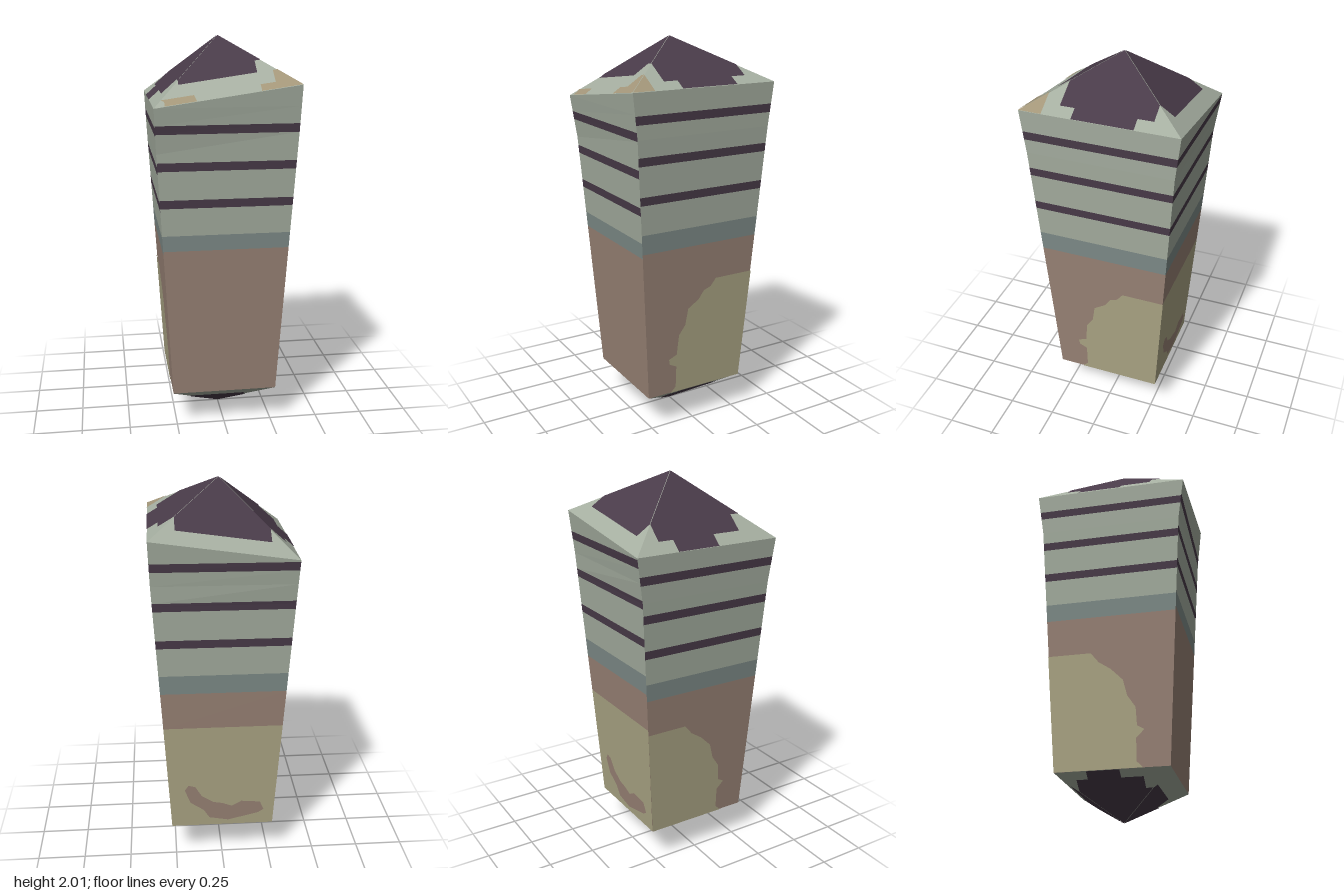
import * as THREE from 'three';

const mat = (name, color) => Object.assign(new THREE.MeshStandardMaterial({ color }), { name });
const sage = mat('sageStone', 0xa5aea0);
const plum = mat('darkPlum', 0x493b49);
const slate = mat('slateBlue', 0x7f8c89);
const brown = mat('clayBrown', 0x998376);
const lichen = mat('lichenOlive', 0xaca685);
const tan = mat('tanSpot', 0xa39679);

const V = (x, y, z) => new THREE.Vector3(x, y, z);

// Four corner edges of the pillar (sx, sz signs): bottom, kink and top points; the -x side is shorter
const corner = (sx, sz) => sx > 0
  ? [V(0.27, 0.19, sz * 0.278), V(0.345, 1.57, sz * 0.367), V(0.352, 1.79, sz * 0.392)]
  : [V(-0.27, 0.19, sz * 0.278), V(-0.342, 1.47, sz * 0.361), V(-0.352, 1.69, sz * 0.392)];

function edgePoint([b, m, t], y) {
  const [p, q] = y < m.y ? [b, m] : [m, t];
  return p.clone().lerp(q, THREE.MathUtils.clamp((y - p.y) / (q.y - p.y), 0, 1));
}

// Flat-shaded mesh from a list of triangles, each turned to face outward
function triMesh(name, tris, material, out) {
  const pts = [];
  for (const [a, b, c] of tris) {
    const n = b.clone().sub(a).cross(c.clone().sub(a));
    if (n.length() < 1e-9) continue;
    pts.push(...(n.dot(out) > 0 ? [a, b, c] : [a, c, b]));
  }
  const g = new THREE.BufferGeometry().setFromPoints(pts);
  g.computeVertexNormals();
  const mesh = new THREE.Mesh(g, material);
  mesh.name = name;
  return mesh;
}

// Thin painted patch: a 2D outline projected along one axis onto the plane a-b-c
function patch(name, outline, axes, [a, b, c], material, out) {
  const n = b.clone().sub(a).cross(c.clone().sub(a)).normalize();
  if (n.dot(out) < 0) n.negate();
  const [u, v, w] = axes;
  const flat = outline.map(([x, y]) => new THREE.Vector2(x, y));
  if (THREE.ShapeUtils.isClockWise(flat)) flat.reverse();
  const pts = flat.map(p => {
    const q = V();
    q[u] = p.x;
    q[v] = p.y;
    q[w] = a[w] - (n[u] * (p.x - a[u]) + n[v] * (p.y - a[v])) / n[w];
    return q.addScaledVector(n, 0.003);
  });
  const tris = THREE.ShapeUtils.triangulateShape(flat, []).map(t => t.map(i => pts[i]));
  return triMesh(name, tris, material, out);
}

// Side wall of horizontal colour bands between two corner edges
function wall(name, A, B, bands, out) {
  const group = new THREE.Group();
  group.name = name;
  let y0 = 0.19;
  for (const [y1, material, part] of bands) {
    const cuts = [y0, ...[1.47, 1.57, 1.69].filter(y => y > y0 && y < y1), y1];
    const tris = [];
    for (let i = 0; i < cuts.length - 1; i++) {
      const [a, b, c, d] = [edgePoint(A, cuts[i]), edgePoint(B, cuts[i]),
        edgePoint(B, cuts[i + 1]), edgePoint(A, cuts[i + 1])];
      tris.push([a, b, c], [a, c, d]);
    }
    group.add(triMesh(part, tris, material, out));
    y0 = y1;
  }
  return group;
}

// Clay base, slate band and three dark stripes at the given heights
function bandList(slateLow, slateHigh, stripes, lichenTop) {
  const list = lichenTop ? [[lichenTop, lichen, 'lichenBand']] : [];
  list.push([slateLow, brown, 'clayBase'], [slateHigh, slate, 'slateBand']);
  for (const y of stripes) list.push([y - 0.02, sage, 'stoneBand'], [y + 0.022, plum, 'darkStripe']);
  list.push([1.79, sage, 'stoneTop']);
  return list;
}

export function createModel() {
  const model = new THREE.Group();
  model.name = 'stonePillar';

  const fl = corner(1, 1), fr = corner(-1, 1), bl = corner(1, -1), br = corner(-1, -1);
  const highStripes = [1.27, 1.463, 1.66];
  const sides = [
    { name: 'front', A: fr, B: fl, out: V(0, 0, 1), bands: bandList(0.98, 1.06, [1.22, 1.405, 1.585]) },
    { name: 'left', A: fl, B: bl, out: V(1, 0, 0), bands: bandList(1.0, 1.1, highStripes) },
    { name: 'back', A: bl, B: br, out: V(0, 0, -1), bands: bandList(1.0, 1.1, highStripes, 0.8) },
    { name: 'right', A: br, B: fr, out: V(-1, 0, 0), bands: bandList(0.96, 1.05, [1.205, 1.385, 1.575]) },
  ];

  // Dark cap outlines per side, in plan (x, z)
  const capOutline = {
    back: [[-0.225, -0.25], [-0.225, -0.32], [0.225, -0.32], [0.225, -0.25]],
    left: [[0.225, -0.25], [0.3, -0.25], [0.3, -0.172], [0.352, -0.172], [0.352, 0.13], [0.3, 0.13], [0.3, 0.203], [0.182, 0.203]],
    front: [[0.182, 0.203], [0.152, 0.203], [0.152, 0.278], [-0.225, 0.278], [-0.225, 0.25]],
    right: [[-0.225, 0.25], [-0.225, 0.203], [-0.3, 0.203], [-0.3, 0.053], [-0.352, 0.053], [-0.352, -0.172],
      [-0.3, -0.172], [-0.3, -0.25], [-0.225, -0.25]],
  };

  const top = V(0, 2, 0), base = V(0, 0, 0), up = V(0, 1, 0), down = V(0, -1, 0);
  const plan = ['x', 'z', 'y'];
  for (const { name, A, B, out, bands } of sides) {
    model.add(wall(name + 'Wall', A, B, bands, out));
    // Pyramid tip and foot with their dark centres
    const tip = [A[2], B[2], top], foot = [A[0], B[0], base];
    model.add(triMesh(name + 'Tip', [tip], sage, up));
    model.add(triMesh(name + 'Foot', [foot], sage, down));
    const outline = [[0, 0], ...capOutline[name]];
    model.add(patch(name + 'TipCentre', outline, plan, tip, plum, up));
    const small = outline.map(([x, z]) => [x * 0.27 / 0.352, z * 0.278 / 0.392]);
    model.add(patch(name + 'FootCentre', small, plan, foot, plum, down));
  }

  // Tan spots along the front of the tip
  const frontTip = [fr[2], fl[2], top], leftTip = [fl[2], bl[2], top];
  model.add(patch('tanSpotCorner', [[0.155, 0.392], [0.155, 0.352], [0.227, 0.352], [0.227, 0.278], [0.25, 0.278], [0.352, 0.392]],
    plan, frontTip, tan, up));
  model.add(patch('tanSpotSide', [[0.25, 0.278], [0.352, 0.278], [0.352, 0.392]], plan, leftTip, tan, up));
  model.add(patch('tanSpotEdge', [[-0.317, 0.353], [-0.16, 0.353], [-0.15, 0.392], [-0.3, 0.392], [-0.3, 0.365]],
    plan, frontTip, tan, up));

  // Lichen creeping round from the back onto both sides
  const zy = ['z', 'y', 'x'];
  model.add(patch('lichenLeft', [[-0.278, 0.19], [-0.319, 0.8], [-0.1, 0.8], [-0.07, 0.76], [-0.03, 0.745], [0, 0.7], [0.06, 0.66],
    [0.075, 0.57], [0.11, 0.52], [0.12, 0.41], [0.165, 0.39], [0.16, 0.36], [0.12, 0.34], [0.12, 0.22], [0.15, 0.19]],
    zy, [fl[0], bl[0], fl[1]], lichen, V(1, 0, 0)));
  model.add(patch('lichenRight', [[-0.278, 0.19], [-0.317, 0.77], [-0.1, 0.77], [-0.06, 0.72], [0, 0.68], [0.06, 0.62], [0.08, 0.54],
    [0.12, 0.48], [0.125, 0.39], [0.16, 0.37], [0.12, 0.33], [0.12, 0.22], [0.15, 0.19]],
    zy, [fr[0], br[0], fr[1]], lichen, V(-1, 0, 0)));

  // Bare clay streak in the back lichen
  model.add(patch('clayStreak', [[0.2, 0.42], [0.18, 0.45], [0.145, 0.44], [0.11, 0.38], [0.05, 0.34], [0, 0.33], [-0.05, 0.31],
    [-0.1, 0.34], [-0.2, 0.33], [-0.22, 0.28], [-0.19, 0.26], [-0.03, 0.22], [0.07, 0.24], [0.1, 0.29], [0.17, 0.34]],
    ['x', 'y', 'z'], [bl[0], br[0], bl[1]], brown, V(0, 0, -1)));

  return model;
}
